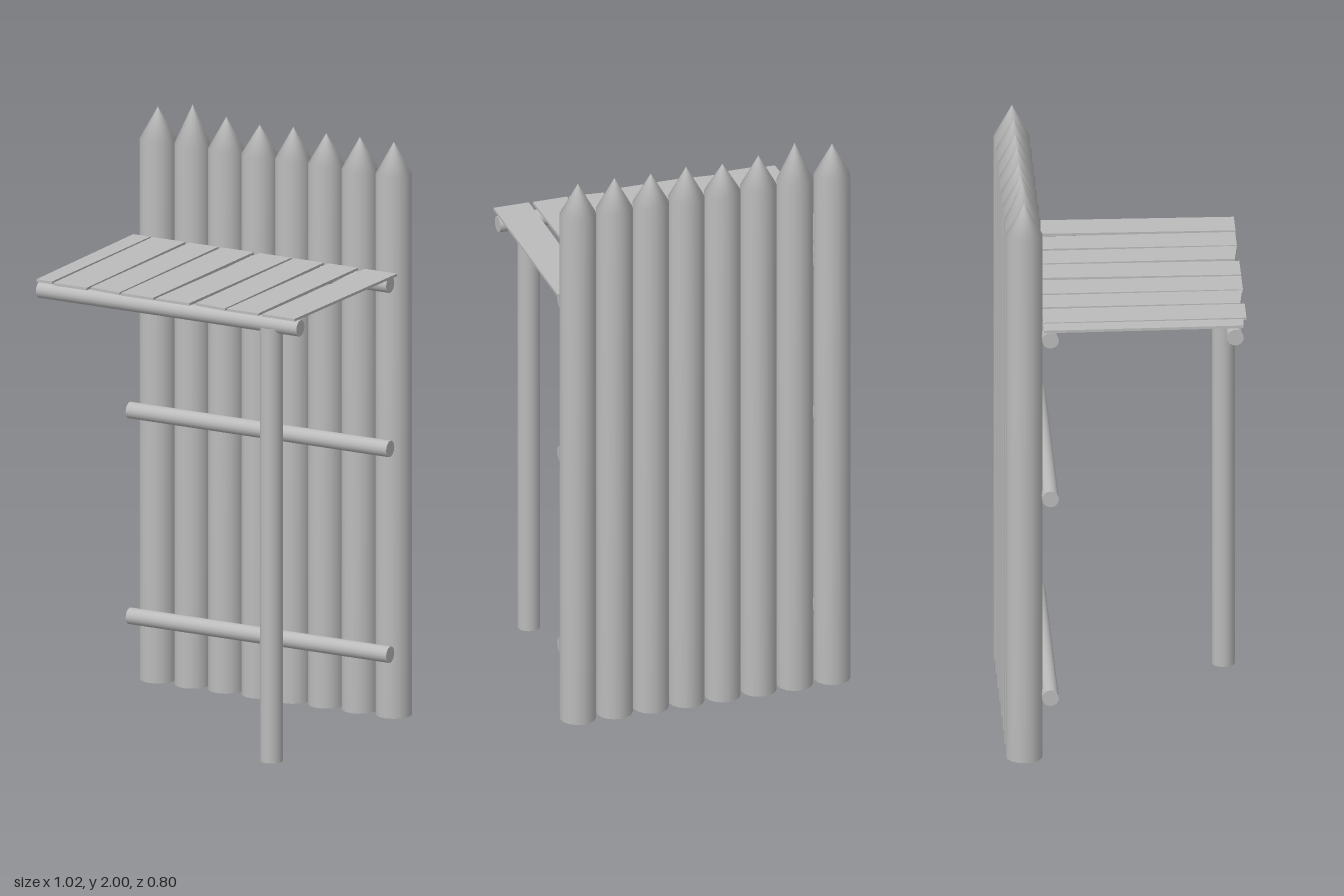
import * as THREE from 'three';

export function createModel() {
  const group = new THREE.Group();
  const timber = new THREE.MeshStandardMaterial({ color: 0xbbbbbb, side: THREE.DoubleSide });
  timber.name = 'grey timber';

  const add = (name, geometry, x = 0, y = 0, z = 0) => {
    const mesh = new THREE.Mesh(geometry, timber);
    mesh.name = name;
    mesh.position.set(x, y, z);
    group.add(mesh);
    return mesh;
  };

  // Palisade: pointed logs, open underneath. [x, tip height]
  const logs = [
    [-0.45, 1.975], [-0.318, 2], [-0.19, 1.975], [-0.063, 1.965],
    [0.065, 1.975], [0.19, 1.97], [0.318, 1.975], [0.447, 1.975],
  ];
  logs.forEach(([x, tip], i) => {
    const profile = [[0.061, 0], [0.061, 1.865], [0, tip]].map(p => new THREE.Vector2(...p));
    add('palisadeLog' + (i + 1), new THREE.LatheGeometry(profile, 16), x, 0, -0.34);
  });

  // Horizontal rails: three behind the logs' inner face, one at the walkway front. [y, z]
  const rails = { lowerRail: [0.23, -0.255], middleRail: [0.94, -0.255], upperRail: [1.507, -0.255], frontRail: [1.507, 0.36] };
  for (const [name, [y, z]] of Object.entries(rails)) {
    const geometry = new THREE.CylinderGeometry(0.028, 0.028, 0.99, 16).rotateZ(Math.PI / 2);
    add(name, geometry, -0.015, y, z);
  }

  // Single post carrying the front rail, open underneath
  add('supportPost', new THREE.CylinderGeometry(0.038, 0.038, 1.5, 16, 1, true), 0.37, 0.75, 0.36);

  // Walkway planks, slightly crooked.
  // [back left x, back right x, front left x, front right x, front left z, front right z]
  const planks = [
    [-0.508, -0.443, -0.508, -0.448, 0.387, 0.39],
    [-0.435, -0.31, -0.437, -0.31, 0.4, 0.4],
    [-0.295, -0.185, -0.302, -0.187, 0.386, 0.397],
    [-0.172, -0.05, -0.18, -0.057, 0.4, 0.4],
    [-0.028, 0.093, -0.046, 0.08, 0.4, 0.4],
    [0.103, 0.216, 0.098, 0.215, 0.386, 0.398],
    [0.234, 0.346, 0.222, 0.342, 0.398, 0.398],
    [0.372, 0.495, 0.356, 0.48, 0.4, 0.4],
  ];
  planks.forEach(([bl, br, fl, fr, zl, zr], i) => {
    const geometry = new THREE.BoxGeometry(1, 1, 1);
    const p = geometry.attributes.position;
    for (let k = 0; k < p.count; k++) {
      const right = p.getX(k) > 0, top = p.getY(k) > 0, front = p.getZ(k) > 0;
      const x = front ? (right ? fr : fl) : (right ? br : bl);
      const y = (front ? 1.54 : 1.533) + (top ? 0.009 : 0);
      const z = front ? (right ? zr : zl) : -0.276;
      p.setXYZ(k, x, y, z);
    }
    geometry.computeVertexNormals();
    add('walkwayPlank' + (i + 1), geometry);
  });

  return group;
}
